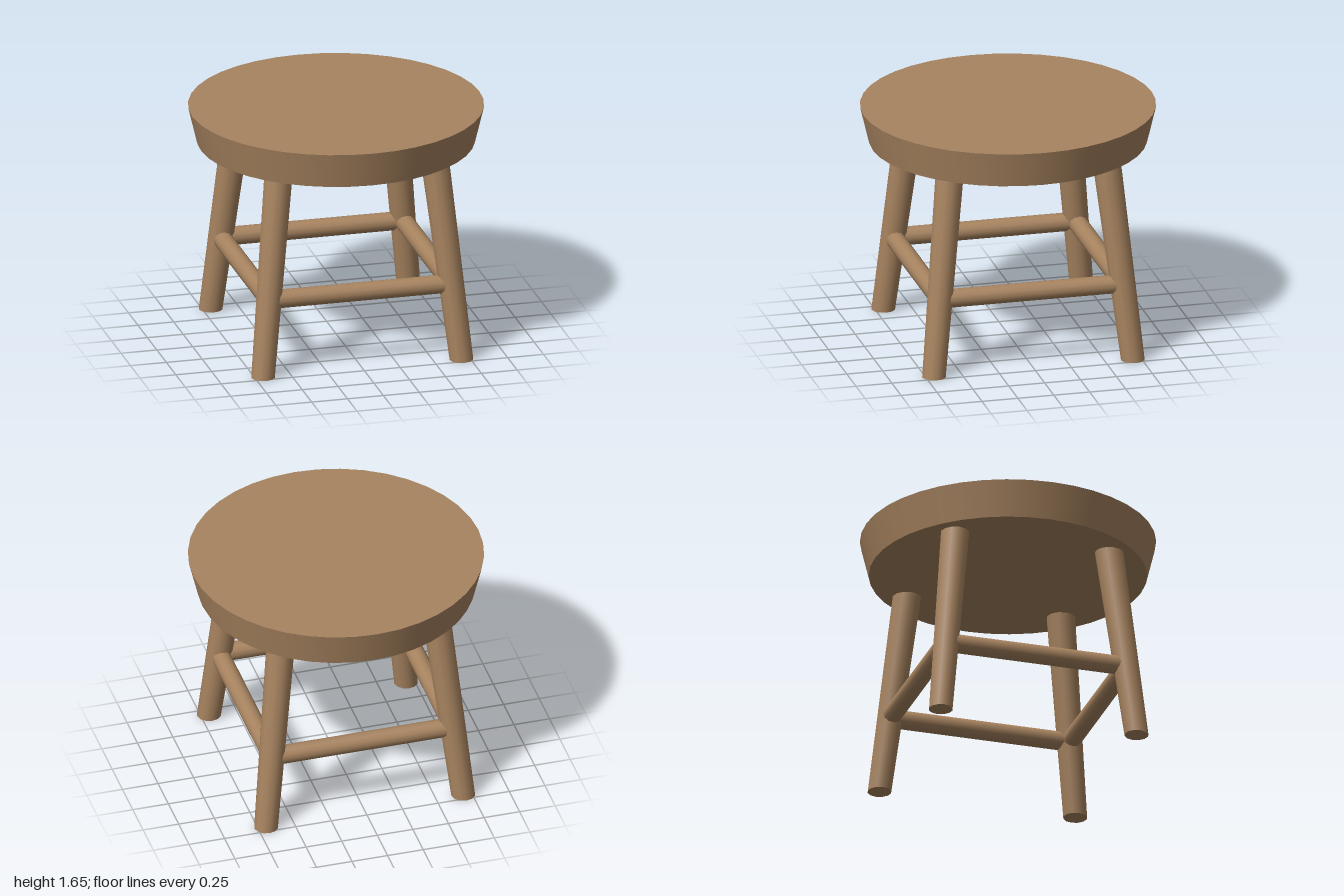
import * as THREE from 'three';

const SEAT_BOTTOM = 1.4, SEAT_TOP = 1.65;
const FOOT = 0.692;                       // leg centre offset at the floor
const LEAN = (0.692 - 0.545) / SEAT_BOTTOM; // inward drift per unit of height
const legOffset = (y) => FOOT - LEAN * y;

export function createModel() {
  const stool = new THREE.Group();
  stool.name = 'stool';
  const wood = new THREE.MeshStandardMaterial({ color: 0xa88460 });
  wood.name = 'wood';

  const add = (name, geometry) => {
    const mesh = new THREE.Mesh(geometry, wood);
    mesh.name = name;
    stool.add(mesh);
    return mesh;
  };

  // Round seat, tapering towards its underside
  const seat = add('seat', new THREE.CylinderGeometry(1, 0.94, SEAT_TOP - SEAT_BOTTOM, 40));
  seat.position.y = (SEAT_TOP + SEAT_BOTTOM) / 2;

  // Splayed legs: tapered cylinders sheared so that the ends stay level
  const legHeight = SEAT_BOTTOM + 0.05;
  for (const [sx, sideName] of [[1, 'Left'], [-1, 'Right']]) {
    for (const [sz, endName] of [[1, 'front'], [-1, 'back']]) {
      const geometry = new THREE.CylinderGeometry(0.099, 0.082, legHeight, 12);
      geometry.translate(0, legHeight / 2, 0);
      const shear = new THREE.Matrix4().set(
        1, -sx * LEAN, 0, sx * FOOT,
        0, 1, 0, 0,
        0, -sz * LEAN, 1, sz * FOOT,
        0, 0, 0, 1
      );
      geometry.applyMatrix4(shear);
      add(`${endName}${sideName}Leg`, geometry);
    }
  }

  // Four stretchers joining neighbouring legs
  const railY = 0.53, railOffset = legOffset(railY);
  ['front', 'left', 'back', 'right'].forEach((side, i) => {
    const geometry = new THREE.CylinderGeometry(0.064, 0.064, railOffset * 2, 12);
    geometry.rotateZ(Math.PI / 2);
    geometry.translate(0, railY, railOffset);
    geometry.rotateY(i * Math.PI / 2);
    add(`${side}Stretcher`, geometry);
  });

  return stool;
}
